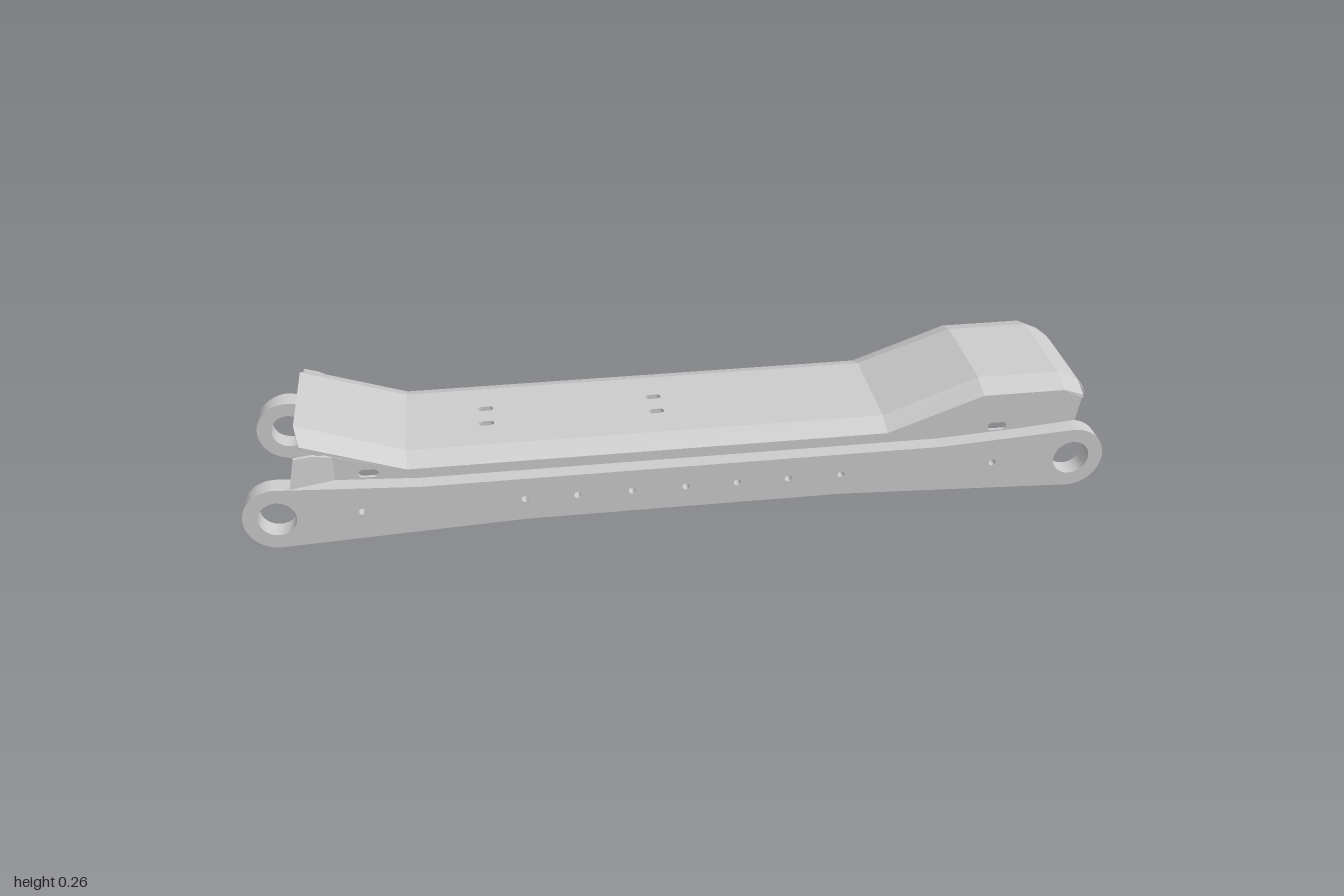
import * as THREE from 'three';

const MID = 0.009;   // z of the centre plane of the cover
const T = 0.008;     // sheet thickness
const material = new THREE.MeshStandardMaterial({ color: 0xcccccc, flatShading: true, side: THREE.DoubleSide });

function add(parent, name, geometry) {
  const mesh = new THREE.Mesh(geometry, material);
  mesh.name = name;
  parent.add(mesh);
  return mesh;
}

// Shape from corner points
const polygon = (pts) => new THREE.Shape(pts.map(([x, y]) => new THREE.Vector2(x, y)));

function roundHole(shape, x, y, r) {
  shape.holes.push(new THREE.Path().absarc(x, y, r, 0, Math.PI * 2, true));
}

function slotHole(shape, x, y, length, width) {
  const r = width / 2, d = length / 2 - r;
  const p = new THREE.Path();
  p.absarc(x - d, y, r, Math.PI / 2, Math.PI * 1.5, false);
  p.absarc(x + d, y, r, -Math.PI / 2, Math.PI / 2, false);
  shape.holes.push(p);
}

// Extrude a side-on shape between two z values
function plate(shape, z0, z1) {
  const g = new THREE.ExtrudeGeometry(shape, { depth: z1 - z0, bevelEnabled: false, curveSegments: 20 });
  return g.translate(0, 0, z0);
}

// Folded sheet: each ring holds the outer points (+z to -z), then the inner points back again
function foldedSheet(rings) {
  const pos = [], n = rings[0].length;
  const quad = (a, b, c, d) => pos.push(...a, ...b, ...c, ...a, ...c, ...d);
  for (let s = 0; s < rings.length - 1; s++) {
    const A = rings[s], B = rings[s + 1];
    for (let i = 0; i < n; i++) {
      const j = (i + 1) % n;
      quad(A[i], B[i], B[j], A[j]);
    }
  }
  const first = rings[0], last = rings[rings.length - 1];
  for (let i = 0; i < n / 2 - 1; i++) {
    const k = n - 1 - i;
    quad(last[i], last[k], last[k - 1], last[i + 1]);
    quad(first[i], first[i + 1], first[k - 1], first[k]);
  }
  const g = new THREE.BufferGeometry();
  g.setAttribute('position', new THREE.Float32BufferAttribute(pos, 3));
  g.computeVertexNormals();
  return g;
}

// Cross-section with a flat top and sloping shoulders
function hoodRing([x, topY, topHalf, edgeX, edgeY, edgeHalf]) {
  const outer = [[edgeX, edgeY, MID + edgeHalf], [x, topY, MID + topHalf],
    [x, topY, MID - topHalf], [edgeX, edgeY, MID - edgeHalf]];
  return [...outer, ...outer.map(([a, y, z]) => [a, y - T, z]).reverse()];
}

// Side arm with an eye at each end and a row of small holes
function sideArm(z0, z1) {
  const s = new THREE.Shape();
  s.moveTo(-0.37, 0.025);
  s.lineTo(0.37, 0.025);
  s.absarc(0.923, 0.077, 0.077, -Math.PI / 2, Math.PI / 2, false);
  s.lineTo(0.6, 0.135);
  s.lineTo(-0.6, 0.135);
  s.absarc(-0.923, 0.077, 0.077, Math.PI / 2, Math.PI * 1.5, false);
  for (const x of [-0.923, 0.923]) roundHole(s, x, 0.077, 0.043);
  for (const x of [-0.735, -0.37, -0.25, -0.125, 0, 0.12, 0.24, 0.365, 0.73]) roundHole(s, x, 0.08, 0.008);
  return plate(s, z0, z1);
}

export function createModel() {
  const model = new THREE.Group();
  model.name = 'linkAssembly';

  // Two side arms
  add(model, 'frontArm', sideArm(0.175, 0.22));
  add(model, 'rearArm', sideArm(-0.2, -0.155));

  // Raised collars on the outside of the rear arm
  for (const x of [-0.923, 0.923]) {
    const collar = new THREE.Shape().absarc(x, 0.077, 0.07, 0, Math.PI * 2, false);
    roundHole(collar, x, 0.077, 0.053);
    add(model, 'rearCollar', plate(collar, -0.218, -0.2));
  }

  // Cover: flat middle panel with two pairs of slots
  const cover = new THREE.Group();
  cover.name = 'cover';
  model.add(cover);
  const panel = polygon([[-0.63, -0.125], [0.48, -0.125], [0.48, 0.125], [-0.63, 0.125]]);
  for (const x of [-0.445, -0.045])
    for (const z of [-0.033, 0.033]) slotHole(panel, x, z, 0.036, 0.019);
  const panelGeo = plate(panel, 0, T).rotateX(-Math.PI / 2).translate(0, 0.18 - T, MID);
  add(cover, 'coverPanel', panelGeo);

  // Cover: shoulders and side flanges of the middle
  for (const side of [1, -1]) {
    const ring = (x) => {
      const outer = [[0.18, 0.125], [0.16, 0.174], [0.125, 0.174]];
      const inner = [[0.18 - T, 0.125], [0.16 - T, 0.174 - T], [0.125, 0.174 - T]];
      if (side > 0) { outer.reverse(); inner.reverse(); }
      return [...outer, ...inner.reverse()].map(([y, z]) => [x, y, MID + side * z]);
    };
    add(cover, 'coverShoulder', foldedSheet([ring(-0.63), ring(0.48)]));
  }

  // Upturned flare at the right end
  add(cover, 'flare', foldedSheet([
    [-0.872, 0.263, 0.12, -0.86, 0.238, 0.172],
    [-0.63, 0.18, 0.125, -0.63, 0.16, 0.174],
  ].map(hoodRing)));

  // Raised hood at the left end, folding down into a lip and tab
  add(cover, 'hood', foldedSheet([
    [0.48, 0.18, 0.125, 0.48, 0.16, 0.174],
    [0.705, 0.262, 0.12, 0.705, 0.243, 0.174],
    [0.9, 0.262, 0.12, 0.9, 0.243, 0.174],
    [0.955, 0.23, 0.115, 0.95, 0.222, 0.168],
  ].map(hoodRing)));
  const tabRing = (x, y, h) => [[x, y, MID + h], [x, y, MID - h], [x - T, y - T / 2, MID - h], [x - T, y - T / 2, MID + h]];
  add(cover, 'hoodTab', foldedSheet([tabRing(0.955, 0.23, 0.115), tabRing(0.972, 0.21, 0.115), tabRing(0.98, 0.192, 0.11)]));

  // Slotted side walls joining cover and arms
  for (const side of [1, -1]) {
    const z = MID + side * 0.174;
    const z0 = Math.min(z, z - side * T), z1 = z0 + T;

    const wall = polygon([[0.48, 0.125], [0.6, 0.13], [0.935, 0.158], [0.945, 0.22], [0.9, 0.242], [0.705, 0.242], [0.48, 0.159]]);
    slotHole(wall, 0.745, 0.157, 0.045, 0.02);
    add(model, 'hoodWall', plate(wall, z0, z1));

    const wing = polygon([[-0.79, 0.135], [-0.63, 0.125], [-0.63, 0.16], [-0.79, 0.207]]);
    slotHole(wing, -0.715, 0.157, 0.045, 0.02);
    add(model, 'wing', plate(wing, z0, z1));

    // Wing end bent outward over the arm
    const bent = plate(polygon([[-0.887, 0.153], [-0.79, 0.135], [-0.79, 0.207], [-0.835, 0.222], [-0.872, 0.226]]), z0, z1);
    const p = bent.attributes.position;
    for (let i = 0; i < p.count; i++) p.setZ(i, p.getZ(i) + side * 0.36 * (-0.79 - p.getX(i)));
    bent.computeVertexNormals();
    add(model, 'wingEnd', bent);
  }

  return model;
}
